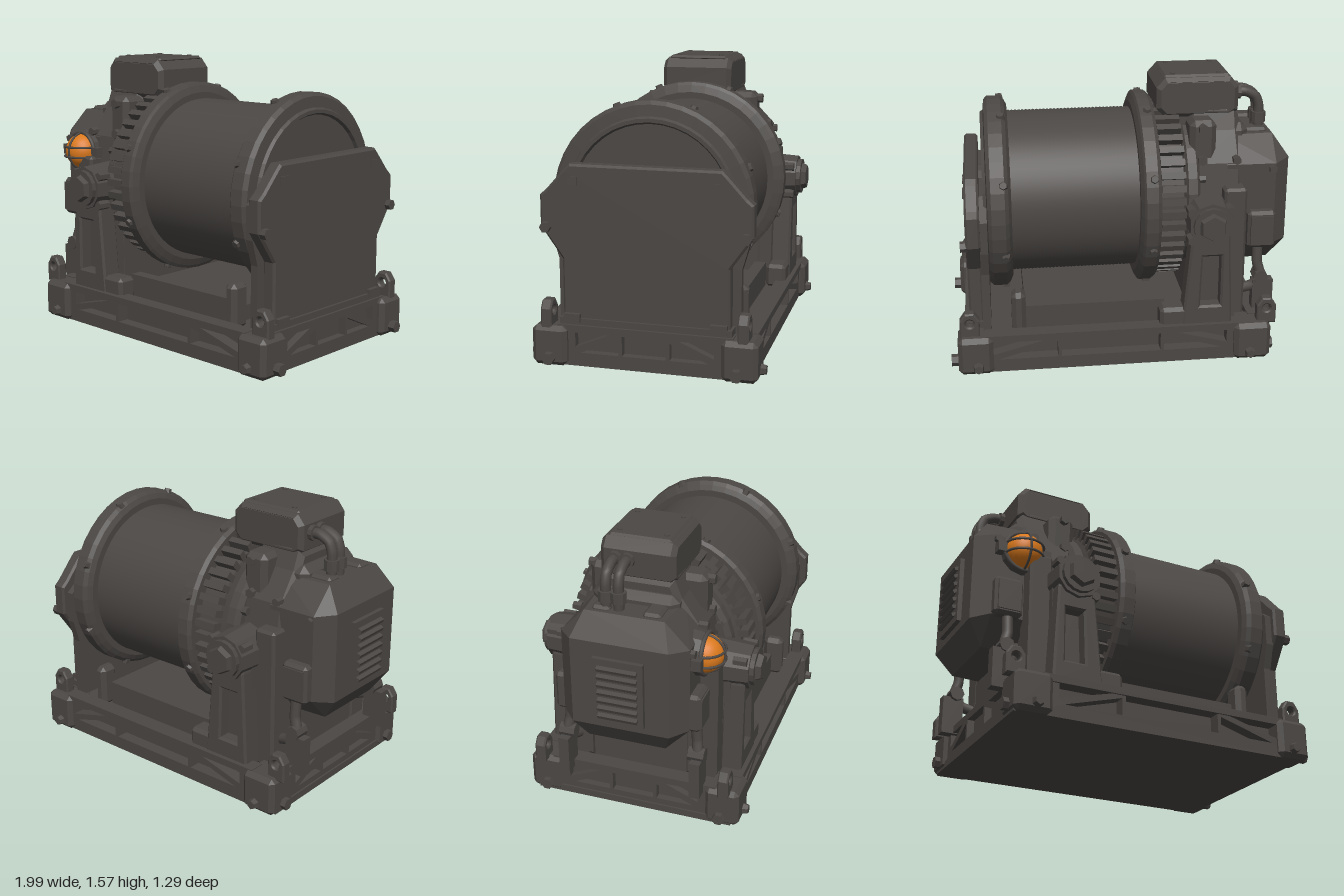
import * as THREE from 'three';
import { ConvexGeometry } from 'three/addons/geometries/ConvexGeometry.js';

const AXIS_Y = 0.868; // drum axis height

export function createModel() {
  const steel = new THREE.MeshStandardMaterial({ color: 0x4b4744, flatShading: true });
  steel.name = 'dark steel';
  const smoothSteel = new THREE.MeshStandardMaterial({ color: 0x4b4744 });
  smoothSteel.name = 'dark steel smooth';
  const amber = new THREE.MeshStandardMaterial({ color: 0xd9781c });
  amber.name = 'amber glass';

  const root = new THREE.Group();
  root.name = 'winch';
  let parent = root;
  const group = (name) => {
    parent = new THREE.Group();
    parent.name = name;
    root.add(parent);
  };
  const add = (name, geo, x = 0, y = 0, z = 0, mat = steel) => {
    const m = new THREE.Mesh(geo, mat);
    m.name = name;
    m.position.set(x, y, z);
    parent.add(m);
    return m;
  };
  const box = (name, x0, x1, y0, y1, z0, z1) =>
    add(name, new THREE.BoxGeometry(x1 - x0, y1 - y0, z1 - z0), (x0 + x1) / 2, (y0 + y1) / 2, (z0 + z1) / 2);
  // Box with all edges cut by c
  const cutBox = (name, x0, x1, y0, y1, z0, z1, c) => {
    const a = (x1 - x0) / 2, b = (y1 - y0) / 2, d = (z1 - z0) / 2, pts = [];
    for (const i of [-1, 1]) for (const j of [-1, 1]) for (const k of [-1, 1])
      pts.push(new THREE.Vector3(i * a, j * (b - c), k * (d - c)),
        new THREE.Vector3(i * (a - c), j * b, k * (d - c)),
        new THREE.Vector3(i * (a - c), j * (b - c), k * d));
    return add(name, new ConvexGeometry(pts), (x0 + x1) / 2, (y0 + y1) / 2, (z0 + z1) / 2);
  };
  const vec2 = (pts) => pts.map((p) => new THREE.Vector2(p[0], p[1]));
  const poly = (pts) => new THREE.Shape(vec2(pts));
  const cut = (shape, pts) => shape.holes.push(new THREE.Path(vec2(pts)));
  const mirrored = (half) => poly([...half, ...half.map(([z, y]) => [-z, y]).reverse()]);
  const extrude = (shape, depth, bevel = 0) => new THREE.ExtrudeGeometry(shape, {
    depth: depth - 2 * bevel, bevelEnabled: bevel > 0, bevelSize: bevel, bevelThickness: bevel,
    bevelOffset: -bevel, bevelSegments: 1, curveSegments: 20,
  }).translate(0, 0, bevel);
  // Extrusion of a (z, y) profile along x
  const slab = (name, shape, x0, x1, bevel = 0) =>
    add(name, extrude(shape, x1 - x0, bevel).rotateY(Math.PI / 2), x0);
  const lathe = (name, pts, seg, mat = steel) =>
    add(name, new THREE.LatheGeometry(vec2(pts), seg).rotateZ(-Math.PI / 2), 0, AXIS_Y, 0, mat);
  const cylX = (name, r, x0, x1, y, z, n = 6) =>
    add(name, new THREE.CylinderGeometry(r, r, x1 - x0, n).rotateZ(-Math.PI / 2), (x0 + x1) / 2, y, z);
  const cylZ = (name, r, z0, z1, x, y, n = 6, r2 = r) => // r2 is the outer end
    add(name, new THREE.CylinderGeometry(r2, r, Math.abs(z1 - z0), n).rotateX(Math.sign(z1 - z0) * Math.PI / 2), x, y, (z0 + z1) / 2);
  const pipe = (name, pts, r) => add(name, new THREE.TubeGeometry(
    new THREE.CatmullRomCurve3(pts.map((p) => new THREE.Vector3(...p)), false, 'catmullrom', 0.25), 24, r, 10), 0, 0, 0, smoothSteel);

  // Base frame with open trussed sides
  group('baseFrame');
  box('basePlate', -0.8, 0.915, 0, 0.04, -0.57, 0.57);
  box('deck', -0.75, 0.87, 0.04, 0.185, -0.51, 0.51);
  const truss = (half0, half1, inner0, inner1, brace) => {
    const s = poly([[half0, 0], [half1, 0], [half1, 0.215], [half0, 0.215]]);
    const b = 0.075, t = 0.19;
    cut(s, [[inner0, t], [inner0, b + 0.03], [inner0 + brace - 0.04, t]]);
    cut(s, [[inner0 + 0.03, b], [inner0 + brace, b], [inner0 + brace, t - 0.02]]);
    cut(s, [[inner0 + brace + 0.02, b], [inner1 - brace - 0.02, b], [inner1 - brace - 0.02, t], [inner0 + brace + 0.02, t]]);
    cut(s, [[inner1 - 0.03, b], [inner1 - brace, t - 0.02], [inner1 - brace, b]]);
    cut(s, [[inner1, t], [inner1 - brace + 0.04, t], [inner1, b + 0.03]]);
    return s;
  };
  for (const s of [-1, 1]) {
    add('sideTruss', extrude(truss(-0.7, 0.85, -0.56, 0.76, 0.36), 0.07), 0, 0, s > 0 ? 0.51 : -0.58);
    slab('endTruss', truss(-0.5, 0.5, -0.38, 0.38, 0.24), s > 0 ? 0.865 : -0.79, s > 0 ? 0.915 : -0.74);
    box('sideRail', -0.65, 0.8, 0.185, 0.225, s * 0.545 - 0.045, s * 0.545 + 0.045);
    box('endRail', s > 0 ? 0.84 : -0.79, s > 0 ? 0.915 : -0.7, 0.185, 0.225, -0.48, 0.48);
    box('deckBeam', -0.22, 0.57, 0.18, 0.325, s * 0.4 - 0.035, s * 0.4 + 0.035);
    cutBox('deckPad', -0.35, -0.18, 0.18, 0.32, s * 0.5 - 0.06, s * 0.5 + 0.06, 0.02);
    cutBox('drumStop', 0.57, 0.65, 0.18, 0.43, s * 0.44 - 0.06, s * 0.44 + 0.06, 0.025);
    for (const e of [-1, 1]) {
      // Corner blocks with bolts and lifting lugs
      const x0 = e > 0 ? 0.76 : -0.81, x1 = e > 0 ? 0.955 : -0.6;
      const z0 = s > 0 ? 0.42 : -0.615;
      cutBox('cornerBlock', x0, x1, 0, 0.22, z0, z0 + 0.195, 0.025);
      cylZ('cornerBolt', 0.036, s * 0.6, s * 0.645, e > 0 ? 0.845 : -0.69, 0.05, 6, 0.025);
      cylX('cornerBolt', 0.034, e > 0 ? 0.94 : -0.84, e > 0 ? 0.995 : -0.79, 0.05, s * 0.51);
      const lx = e > 0 ? 0.885 : -0.79;
      const lug = poly([[-0.055, 0.2], [0.055, 0.2], [0.055, 0.31], [0.025, 0.355], [-0.025, 0.355], [-0.055, 0.31]]);
      lug.holes.push(new THREE.Path().absarc(0, 0.295, 0.023, 0, Math.PI * 2, true));
      add('liftingLug', extrude(lug, 0.06, 0.008), lx, 0, s * 0.535 - 0.03);
    }
  }
  box('deckPanel', -0.22, 0.57, 0.18, 0.27, -0.37, 0.37);

  // Drum with wound rope and flanges
  group('drum');
  const rope = [[0, -0.1]];
  const turns = 36;
  for (let i = 0; i <= turns * 2; i++) rope.push([i % 2 ? 0.465 : 0.46, -0.09 + (0.74 * i) / (turns * 2)]);
  rope.push([0, 0.66]);
  lathe('ropeWinding', rope, 64, smoothSteel);
  lathe('gearSideFlange', [[0, -0.185], [0.54, -0.185], [0.557, -0.165], [0.557, -0.1], [0.54, -0.09], [0.5, -0.075], [0, -0.075]], 40);
  lathe('endFlange', [[0, 0.63], [0.5, 0.63], [0.53, 0.645], [0.55, 0.665], [0.55, 0.74], [0.53, 0.76], [0.47, 0.765],
    [0.46, 0.782], [0.44, 0.782], [0.43, 0.765], [0, 0.765]], 40);
  cylX('endAxle', 0.16, 0.7, 0.83, AXIS_Y, 0, 16);
  for (let i = 0; i < 8; i++) {
    const a = ((i + 0.5) / 8) * Math.PI * 2, c = Math.cos(a), s = Math.sin(a);
    for (const [x, r] of [[-0.145, 0.557], [0.67, 0.548]])
      add('rimBolt', new THREE.CylinderGeometry(0.02, 0.028, 0.03, 6).rotateX(Math.PI / 2 - a), x, AXIS_Y + r * s, r * c);
  }

  // Ring gear
  group('ringGear');
  lathe('gearBody', [[0, -0.335], [0.42, -0.335], [0.475, -0.32], [0.475, -0.18], [0, -0.18]], 48);
  const teeth = 44;
  for (let i = 0; i < teeth; i++) {
    const a = (i / teeth) * Math.PI * 2;
    const t = add('gearTooth', new THREE.BoxGeometry(0.135, 0.07, 0.038), -0.257, AXIS_Y + 0.485 * Math.cos(a), 0.485 * Math.sin(a));
    t.rotation.x = a;
  }

  // End plate carrying the drum axle
  group('endPlate');
  slab('bearingPlate', mirrored([[0.455, 0.2], [0.455, 0.58], [0.575, 0.75], [0.575, 0.92], [0.54, 0.95], [0.44, 1.06], [0.41, 1.09]]), 0.805, 0.885, 0.012);
  slab('backingPlate', mirrored([[0.5, 0.2], [0.5, 0.56], [0.54, 0.7], [0.54, 0.88], [0.4, 0.985]]), 0.765, 0.81);
  box('plateFoot', 0.79, 0.9, 0.18, 0.26, -0.47, 0.47);
  for (const s of [-1, 1]) {
    cylX('plateBolt', 0.03, 0.87, 0.915, 0.75, s * 0.54);
    box('plateTab', 0.88, 0.892, 0.98, 1.025, s * 0.39 - 0.028, s * 0.39 + 0.028);
    box('plateTab', 0.88, 0.91, 0.24, 0.285, s * 0.4 - 0.045, s * 0.4 + 0.045);
  }

  // Gearbox between the gear and the motor
  group('gearbox');
  slab('gearCase', mirrored([[0.38, 0.18], [0.38, 0.9], [0.35, 1.1], [0.24, 1.26], [0.2, 1.36]]), -0.67, -0.38, 0.03);
  lathe('gearCover', [[0, -0.42], [0.42, -0.42], [0.45, -0.4], [0.45, -0.35], [0.42, -0.335], [0, -0.335]], 32);
  for (let i = 0; i < 9; i++) {
    const a = (i / 8) * Math.PI;
    cylX('coverBolt', 0.024, -0.45, -0.415, AXIS_Y + 0.41 * Math.sin(a), 0.41 * Math.cos(a));
  }
  for (const s of [-1, 1]) {
    // Side pedestal with a recessed slot and a bearing hub
    const ped = poly([[-0.59, 0.2], [-0.3, 0.2], [-0.31, 0.3], [-0.35, 0.75], [-0.38, 0.9], [-0.53, 0.9], [-0.565, 0.75]]);
    cut(ped, [[-0.52, 0.33], [-0.52, 0.63], [-0.415, 0.63], [-0.405, 0.33]]);
    add('pedestal', extrude(ped, 0.12, 0.012), 0, 0, s > 0 ? 0.445 : -0.565);
    box('pedestalWeb', -0.57, -0.36, 0.2, 0.88, s * 0.43 - 0.06, s * 0.43 + 0.06);
    cutBox('pedestalLeg', -0.68, -0.55, 0.18, 0.98, s * 0.38 - 0.07, s * 0.38 + 0.07, 0.015);
    cylZ('bearingHub', 0.14, s * 0.36, s * 0.585, -0.455, 0.825, 10, 0.125);
    cylZ('hubCollar', 0.105, s * 0.58, s * 0.61, -0.455, 0.825, 16);
    cylZ('hubNut', 0.085, s * 0.6, s * 0.64, -0.455, 0.825, 6, 0.07);
    for (const [x, y] of [[-0.345, 0.9], [-0.56, 0.9], [-0.35, 0.73]])
      cylZ('hubBolt', 0.026, s * 0.5, s * 0.575, x, y);
    // Upper bracket on the shoulder
    cutBox('shoulderBlock', -0.52, -0.37, 1.05, 1.34, s * 0.24 - 0.09, s * 0.24 + 0.09, 0.03);
    cylZ('shoulderBolt', 0.028, s * 0.3, s * 0.36, -0.44, 1.3);
    cylZ('shoulderBolt', 0.028, s * 0.3, s * 0.36, -0.44, 1.12);
  }

  // Motor housing with cut corners
  group('motor');
  const hull = [];
  for (const i of [-1, 1]) for (const j of [-1, 1]) {
    const y = (h) => 0.85 + i * h;
    hull.push([-0.95, y(0.25), j * 0.27], [-0.86, y(0.38), j * 0.22], [-0.86, y(0.24), j * 0.355],
      [-0.58, y(0.38), j * 0.24], [-0.58, y(0.24), j * 0.355]);
  }
  add('motorHousing', new ConvexGeometry(hull.map((p) => new THREE.Vector3(...p))));
  cutBox('motorRidge', -0.72, -0.58, 1.05, 1.29, -0.24, 0.24, 0.04);
  cutBox('motorFoot', -0.7, -0.58, 0.18, 0.52, -0.28, 0.28, 0.02);
  box('ventFrame', -0.975, -0.93, 0.64, 1.02, -0.14, 0.14);
  for (let i = 0; i < 7; i++) {
    const v = box('ventSlat', -0.995, -0.965, 0.677 + i * 0.047, 0.697 + i * 0.047, -0.11, 0.11);
    v.rotation.z = 0.4;
  }
  for (const s of [-1, 1]) {
    // Junction box and its cable conduit
    cutBox('junctionBox', -0.86, -0.7, 0.6, 0.82, s > 0 ? 0.3 : -0.41, s > 0 ? 0.41 : -0.3, 0.018);
    box('junctionLid', -0.845, -0.715, 0.625, 0.795, s * 0.412 - 0.006, s * 0.412 + 0.006);
    pipe('conduit', [[-0.77, 0.62, s * 0.36], [-0.77, 0.5, s * 0.37], [-0.79, 0.42, s * 0.38], [-0.74, 0.36, s * 0.38], [-0.65, 0.33, s * 0.36]], 0.03);
    cylZ('conduitCollar', 0.042, s * 0.33, s * 0.42, -0.785, 0.42, 8);
    box('conduitClip', -0.86, -0.74, 0.18, 0.4, s * 0.38 - 0.03, s * 0.38 + 0.03);
    for (const [x, y] of [[-0.63, 1.12], [-0.84, 1.06], [-0.62, 0.66]])
      cylZ('housingBolt', 0.024, s * 0.33, s * 0.38, x, y);
    cutBox('topRib', -0.84, -0.68, 1.17, 1.25, s * 0.14 - 0.05, s * 0.14 + 0.05, 0.015);
  }

  // Cooling unit on top with louvres
  group('coolingUnit');
  const cool = poly([[-0.665, 1.36], [-0.62, 1.33], [-0.25, 1.33], [-0.2, 1.38], [-0.2, 1.5], [-0.25, 1.555], [-0.62, 1.555], [-0.665, 1.5]]);
  cut(cool, [[-0.58, 1.39], [-0.58, 1.51], [-0.3, 1.51], [-0.3, 1.39]]);
  add('coolerShell', extrude(cool, 0.415, 0.025), 0, 0, -0.2075);
  box('coolerCore', -0.6, -0.28, 1.37, 1.53, -0.17, 0.17);
  cutBox('coolerLid', -0.62, -0.24, 1.54, 1.567, -0.175, 0.175, 0.013);
  for (const s of [-1, 1]) {
    for (let i = 0; i < 3; i++) box('louvre', -0.58, -0.3, 1.405 + i * 0.036, 1.422 + i * 0.036, s * 0.18 - 0.012, s * 0.18 + 0.012);
    for (const x of [-0.56, -0.3]) add('lidBolt', new THREE.CylinderGeometry(0.014, 0.014, 0.008, 6), x, 1.568, s * 0.13);
  }
  box('coolerNeck', -0.6, -0.32, 1.24, 1.35, -0.18, 0.18);
  for (const z of [-0.12, -0.05]) {
    pipe('coolantPipe', [[-0.63, 1.45, z], [-0.72, 1.45, z], [-0.78, 1.42, z], [-0.8, 1.36, z], [-0.8, 1.2, z]], 0.029);
    add('pipeCollar', new THREE.CylinderGeometry(0.042, 0.042, 0.06, 10), -0.8, 1.3, z);
    cylX('pipeCollar', 0.042, -0.69, -0.65, 1.45, z, 10);
  }

  // Warning lamp in a wire cage
  group('warningLamp');
  const lx = -0.7, ly = 1.0, lz = 0.385;
  cylZ('lampSocket', 0.13, 0.32, lz, lx, ly, 12, 0.12);
  add('lampGlass', new THREE.SphereGeometry(0.104, 24, 12, 0, Math.PI * 2, 0, Math.PI / 2).rotateX(Math.PI / 2), lx, ly, lz, amber);
  add('cageRing', new THREE.TorusGeometry(0.113, 0.012, 8, 28), lx, ly, lz + 0.01, smoothSteel);
  const arch = () => new THREE.TorusGeometry(0.11, 0.007, 6, 20, Math.PI).rotateX(Math.PI / 2);
  for (const o of [-0.03, 0.03]) add('cageBar', arch(), lx, ly + o, lz, smoothSteel);
  add('cageBar', arch().rotateZ(Math.PI / 2), lx, ly, lz, smoothSteel);
  for (const s of [-1, 1]) box('cageTab', lx + s * 0.13 - 0.025, lx + s * 0.13 + 0.025, ly - 0.03, ly + 0.03, 0.34, 0.41);

  return root;
}
